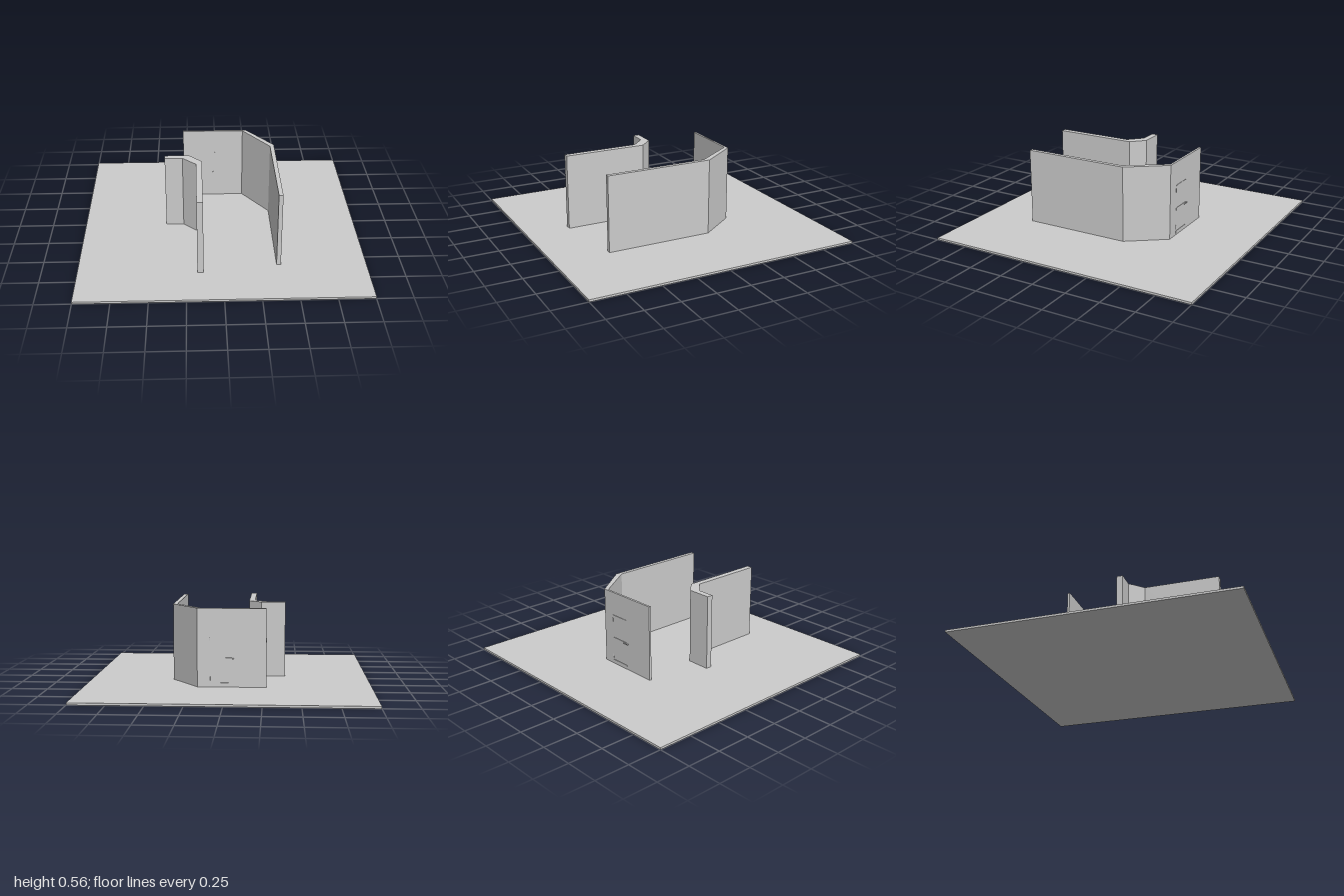
import * as THREE from 'three';

const material = new THREE.MeshStandardMaterial({ color: 0xcccccc, flatShading: true });
const BASE = 0.015, TOP = 0.565;

export function createModel() {
  const group = new THREE.Group();
  const add = (name, geometry, x = 0, y = 0, z = 0) => {
    const mesh = new THREE.Mesh(geometry, material);
    mesh.name = name;
    mesh.position.set(x, y, z);
    group.add(mesh);
    return mesh;
  };
  const box = (name, w, h, d, x, y, z) => add(name, new THREE.BoxGeometry(w, h, d), x, y, z);

  // Upright wall from a plan outline of [x, z] corners
  const wall = (name, plan) => {
    const shape = new THREE.Shape(plan.map(([x, z]) => new THREE.Vector2(x, -z)));
    const geometry = new THREE.ExtrudeGeometry(shape, { depth: TOP - BASE, bevelEnabled: false });
    add(name, geometry.rotateX(-Math.PI / 2), 0, BASE, 0);
  };

  // Ground slab
  box('groundSlab', 2, BASE, 2, 0, BASE / 2, 0);

  // Long wall with its angled corner
  wall('leftWall', [
    [-0.27, -0.444], [0.21, -0.444], [0.405, -0.175], [0.405, 0.6],
    [0.375, 0.6], [0.375, -0.15], [0.185, -0.428], [-0.27, -0.428],
  ]);

  // Shorter, thicker wall
  wall('rightWall', [
    [-0.4, -0.015], [-0.225, -0.015], [-0.133, 0.08], [-0.133, 0.68],
    [-0.176, 0.68], [-0.176, 0.125], [-0.272, 0.03], [-0.4, 0.03],
  ]);

  // Door leaf, just proud of the inner wall face
  box('doorLeaf', 0.15, 0.365, 0.004, 0.045, 0.2025, -0.429);

  // Rails and hinges along the outer side of the door
  for (const y of [0.384, 0.212, 0.036]) {
    box('doorRail', 0.15, 0.02, 0.004, 0.045, y, -0.445);
  }
  for (const y of [0.355, 0.075]) {
    add('hinge', new THREE.CylinderGeometry(0.003, 0.003, 0.03, 8), 0.122, y, -0.445);
  }

  // Handle: a spindle through the door and a lever on each side
  const spindle = add('handleSpindle', new THREE.CylinderGeometry(0.004, 0.004, 0.036, 8), -0.04, 0.215, -0.437);
  spindle.rotation.x = Math.PI / 2;
  for (const z of [-0.453, -0.421]) box('handleLever', 0.045, 0.008, 0.004, -0.02, 0.215, z);

  return group;
}
